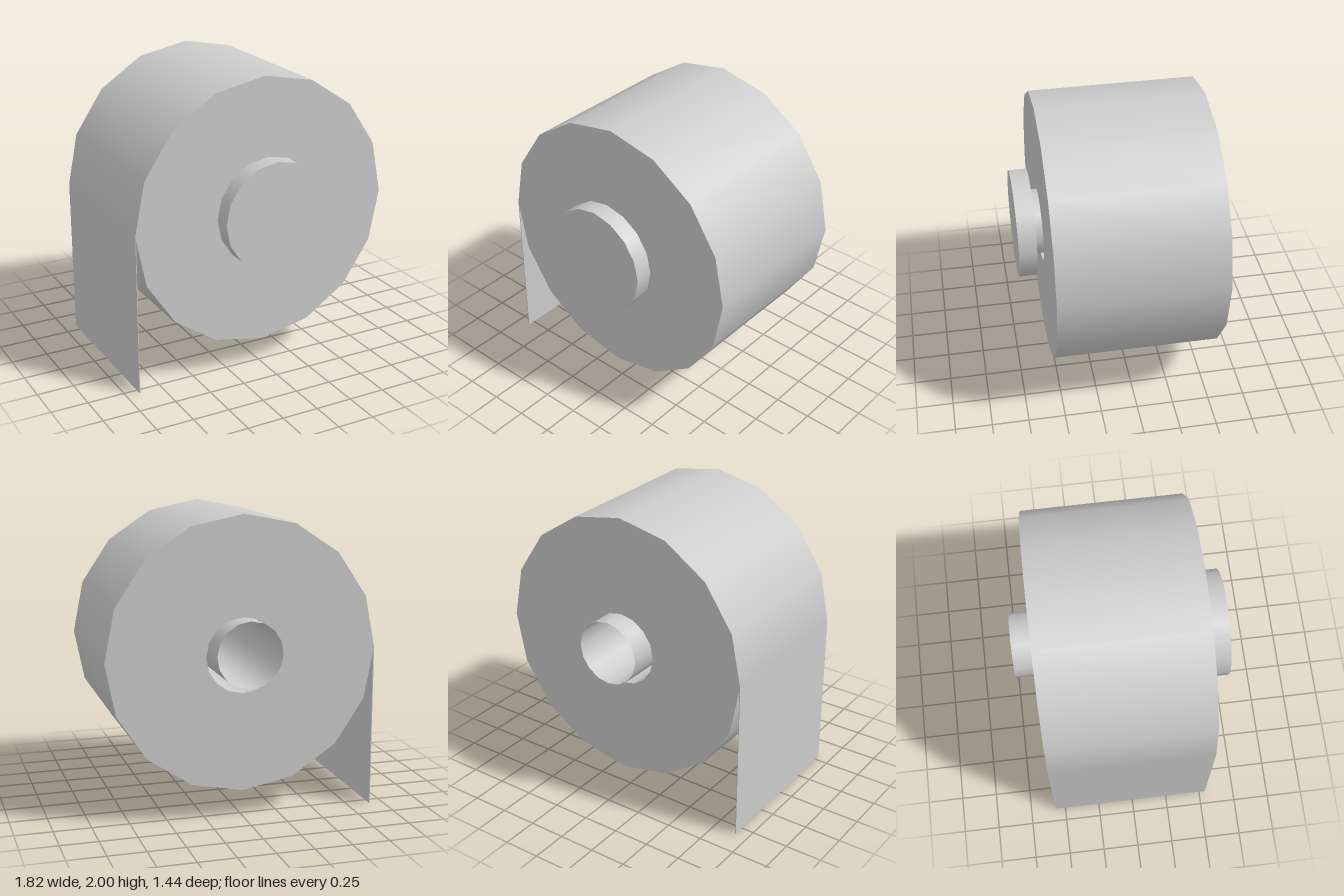
import * as THREE from 'three';

const SIDES = 16;
const grey = new THREE.MeshStandardMaterial({ color: 0xcccccc });
const greyDouble = new THREE.MeshStandardMaterial({ color: 0xcccccc, side: THREE.DoubleSide });

function add(parent, name, geometry, material = grey) {
  const mesh = new THREE.Mesh(geometry, material);
  mesh.name = name;
  parent.add(mesh);
  return mesh;
}

// Cylinder lying along z between two depths
function barrel(radius, z0, z1, y, open) {
  return new THREE.CylinderGeometry(radius, radius, z1 - z0, SIDES, 1, open)
    .rotateX(Math.PI / 2)
    .translate(0, y, (z0 + z1) / 2);
}

export function createModel() {
  const model = new THREE.Group();
  model.name = 'paperRollOnHolder';

  const back = -0.57, front = 0.545;
  const rollY = 1.09, rollR = 0.91, coreR = 0.25;
  const axleY = 1.12;

  // Paper roll with a hole through its middle
  const roll = new THREE.Group();
  roll.name = 'paperRoll';
  model.add(roll);
  add(roll, 'rollOuterSurface', barrel(rollR, back, front, rollY, true));
  add(roll, 'rollCore', barrel(coreR, back, front, rollY, true), greyDouble);
  const ring = () => new THREE.RingGeometry(coreR, rollR, SIDES);
  add(roll, 'rollFrontFace', ring().translate(0, rollY, front));
  add(roll, 'rollBackFace', ring().rotateY(Math.PI).translate(0, rollY, back));

  // Loose sheet hanging from the roll's right side
  const sheet = new THREE.BoxGeometry(0.005, rollY, front - back);
  sheet.translate(-rollR + 0.0025, rollY / 2, (front + back) / 2);
  add(model, 'hangingSheet', sheet);

  // Holder: hollow axle, open at the back, with a round end cap
  add(model, 'holderAxle', barrel(0.22, -0.72, 0.6, axleY, true), greyDouble);
  add(model, 'holderCap', barrel(0.365, 0.6, 0.72, axleY, false));

  return model;
}
